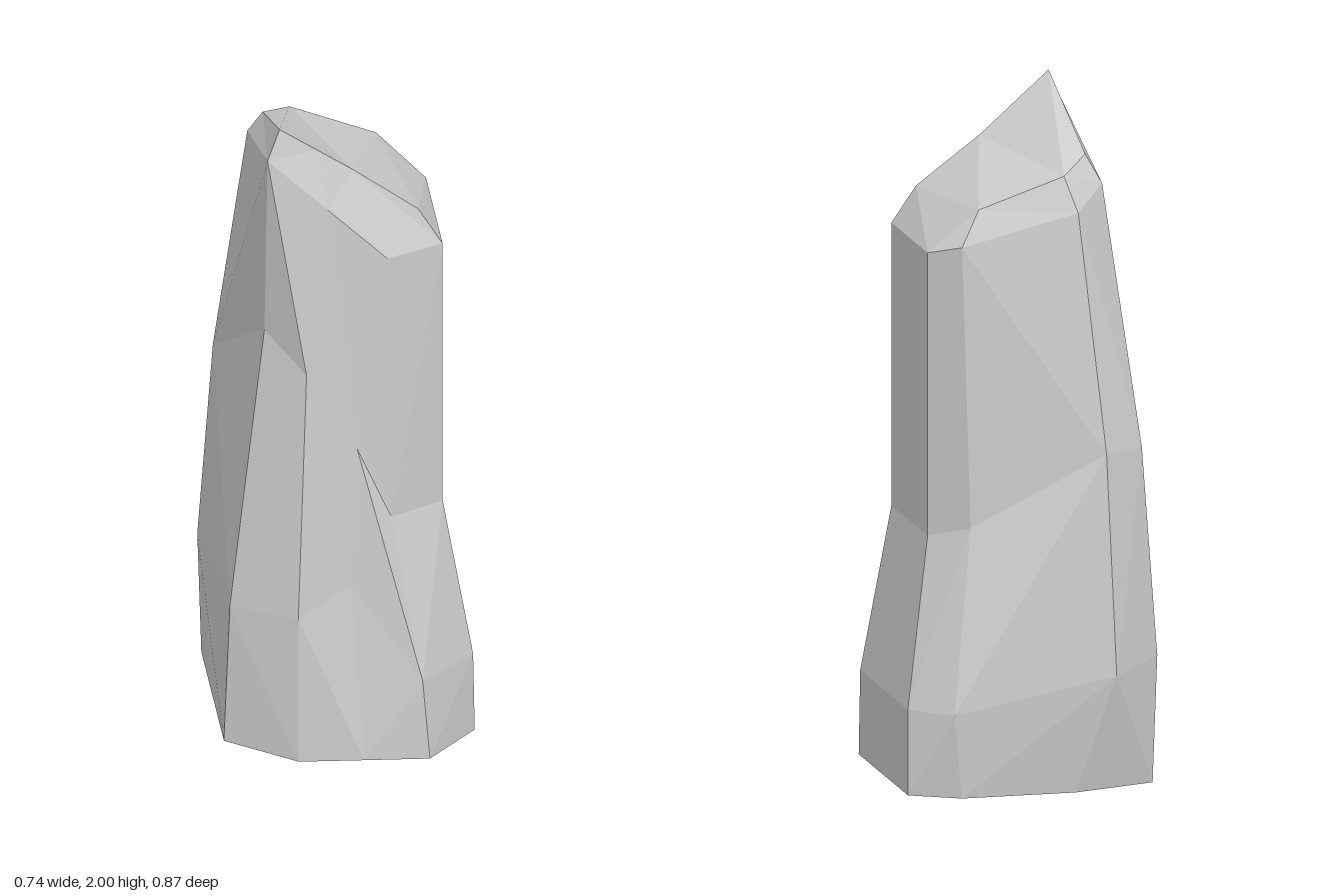
import * as THREE from 'three';

// Corner rings from the base up; each runs front-right, right, back, left, front-left, front-centre.
const rings = [
  // base
  [[0.22, 0, 0.43], [0.37, 0, 0.265], [0.37, 0, -0.3], [0.23, 0, -0.38], [-0.11, 0, -0.385],
    [-0.36, 0, -0.31], [-0.36, 0, 0.25], [-0.16, 0, 0.405], [0.03, 0, 0.418]],
  // foot
  [[0.2, 0.25, 0.42], [0.365, 0.25, 0.267], [0.365, 0.25, -0.28], [0.255, 0.25, -0.395], [-0.22, 0.35, -0.435],
    [-0.37, 0.38, -0.325], [-0.345, 0.45, 0.27], [-0.16, 0.46, 0.395], [0, 0.54, 0.35]],
  // waist
  [[0.12, 0.74, 0.32], [0.28, 0.74, 0.235], [0.28, 0.74, -0.18], [0.18, 0.78, -0.29], [-0.2, 1, -0.395],
    [-0.325, 1, -0.32], [-0.24, 1.33, 0.235], [-0.13, 1.23, 0.345], [0.02, 0.97, 0.325]],
  // shoulder
  [[0.11, 1.58, 0.31], [0.28, 1.58, 0.235], [0.28, 1.58, -0.18], [0.2, 1.61, -0.27], [-0.14, 1.7, -0.3],
    [-0.24, 1.76, -0.19], [-0.24, 1.92, 0.31], [-0.24, 1.92, 0.31], [-0.065, 1.75, 0.31]],
  // rim of the sloping top
  [[0.02, 1.83, 0.22], [0.21, 1.69, 0.22], [0.14, 1.71, -0.23], [0.14, 1.71, -0.23], [-0.11, 1.8, -0.25],
    [-0.2, 1.84, -0.15], [-0.2, 2, 0.27], [-0.2, 2, 0.27], [-0.09, 1.915, 0.245]],
].map((ring) => ring.map((p) => new THREE.Vector3(...p)));

// How far out the middle of a diagonal lies, so that the bulging one is used
function reach(p, q) {
  const m = p.clone().add(q).multiplyScalar(0.5);
  return Math.hypot(m.x, m.z) + Math.max(0, m.y - 1.55);
}

export function createModel() {
  const pos = [];
  const tri = (a, b, c) => {
    if (a.equals(b) || b.equals(c) || c.equals(a)) return;
    for (const p of [a, b, c]) pos.push(p.x, p.y, p.z);
  };

  // Sides and top bevel
  const n = rings[0].length;
  for (let i = 0; i < rings.length - 1; i++) {
    for (let j = 0; j < n; j++) {
      const k = (j + 1) % n;
      const a = rings[i][j], b = rings[i][k], c = rings[i + 1][k], d = rings[i + 1][j];
      if (reach(a, c) > reach(b, d)) { tri(a, b, c); tri(a, c, d); }
      else { tri(a, b, d); tri(b, c, d); }
    }
  }

  // Flat underside
  const base = rings[0];
  for (let j = 1; j < n - 1; j++) tri(base[0], base[j + 1], base[j]);

  // Sloping top
  const t = rings[4];
  for (const [a, b, c] of [[0, 1, 2], [0, 2, 4], [8, 0, 4], [6, 8, 4], [6, 4, 5]]) tri(t[a], t[b], t[c]);

  const geometry = new THREE.BufferGeometry();
  geometry.setAttribute('position', new THREE.Float32BufferAttribute(pos, 3));
  geometry.computeVertexNormals();

  const rock = new THREE.Mesh(geometry, new THREE.MeshStandardMaterial({ color: 0xcccccc, flatShading: true }));
  rock.name = 'rockPillar';
  const group = new THREE.Group();
  group.name = 'standingRock';
  group.add(rock);
  return group;
}
